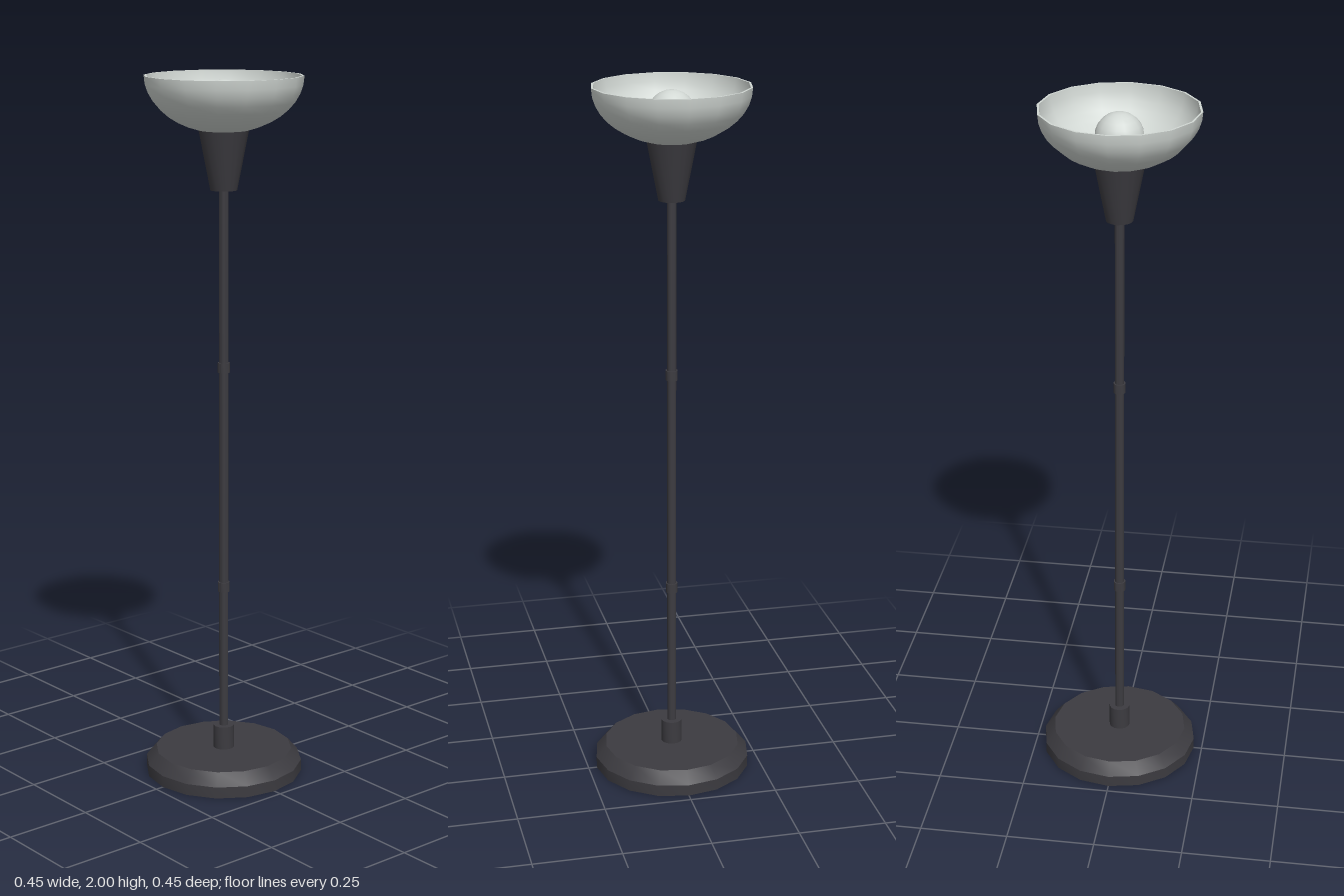
import * as THREE from 'three';
import { toCreasedNormals } from 'three/addons/utils/BufferGeometryUtils.js';

const SIDES = 16;

export function createModel() {
  const lamp = new THREE.Group();
  lamp.name = 'floorLamp';

  const metal = new THREE.MeshStandardMaterial({ color: 0x3c3b40 });
  metal.name = 'darkMetal';
  metal.side = THREE.DoubleSide; // the base is an open shell
  const glass = new THREE.MeshStandardMaterial({ color: 0xd2d8d4 });
  glass.name = 'paleGlass';

  // Turned part from [radius, height] pairs, listed bottom to top along the outside
  function turned(name, profile, material) {
    const points = profile.map(([r, y]) => new THREE.Vector2(r, y));
    const geometry = toCreasedNormals(new THREE.LatheGeometry(points, SIDES), 0.6);
    const mesh = new THREE.Mesh(geometry, material);
    mesh.name = name;
    lamp.add(mesh);
    return mesh;
  }

  // Capped straight or tapered post
  const post = (name, r0, r1, y0, y1) =>
    turned(name, [[0, y0], [r0, y0], [r1, y1], [0, y1]], metal);

  // Hollow weighted base with a bevelled top
  turned('base', [[0.226, 0], [0.226, 0.033], [0.197, 0.067], [0, 0.067]], metal);
  post('baseCollar', 0.03, 0.03, 0.062, 0.135);

  // Pole and its joint rings
  post('pole', 0.013, 0.013, 0.06, 1.7);
  for (const [name, y] of [['lowerJoint', 0.555], ['upperJoint', 1.195]]) {
    post(name, 0.017, 0.017, y - 0.014, y + 0.014);
  }

  // Flared socket under the shade
  post('socket', 0.037, 0.069, 1.69, 1.853);

  // Half-ellipsoid bowl: outer wall upwards, then inner wall back down
  const STEPS = 10;
  const outer = [], inner = [];
  for (let i = 0; i <= STEPS; i++) {
    const a = (i / STEPS) * Math.PI / 2;
    outer.push([0.218 * Math.sin(a), 2 - 0.155 * Math.cos(a)]);
    inner.unshift([0.212 * Math.sin(a), 2 - 0.149 * Math.cos(a)]);
  }
  turned('shade', [...outer, ...inner], glass);

  // Round bulb
  const bulb = new THREE.Mesh(new THREE.SphereGeometry(0.066, SIDES, 12), glass);
  bulb.name = 'bulb';
  bulb.position.y = 1.923;
  lamp.add(bulb);

  return lamp;
}
